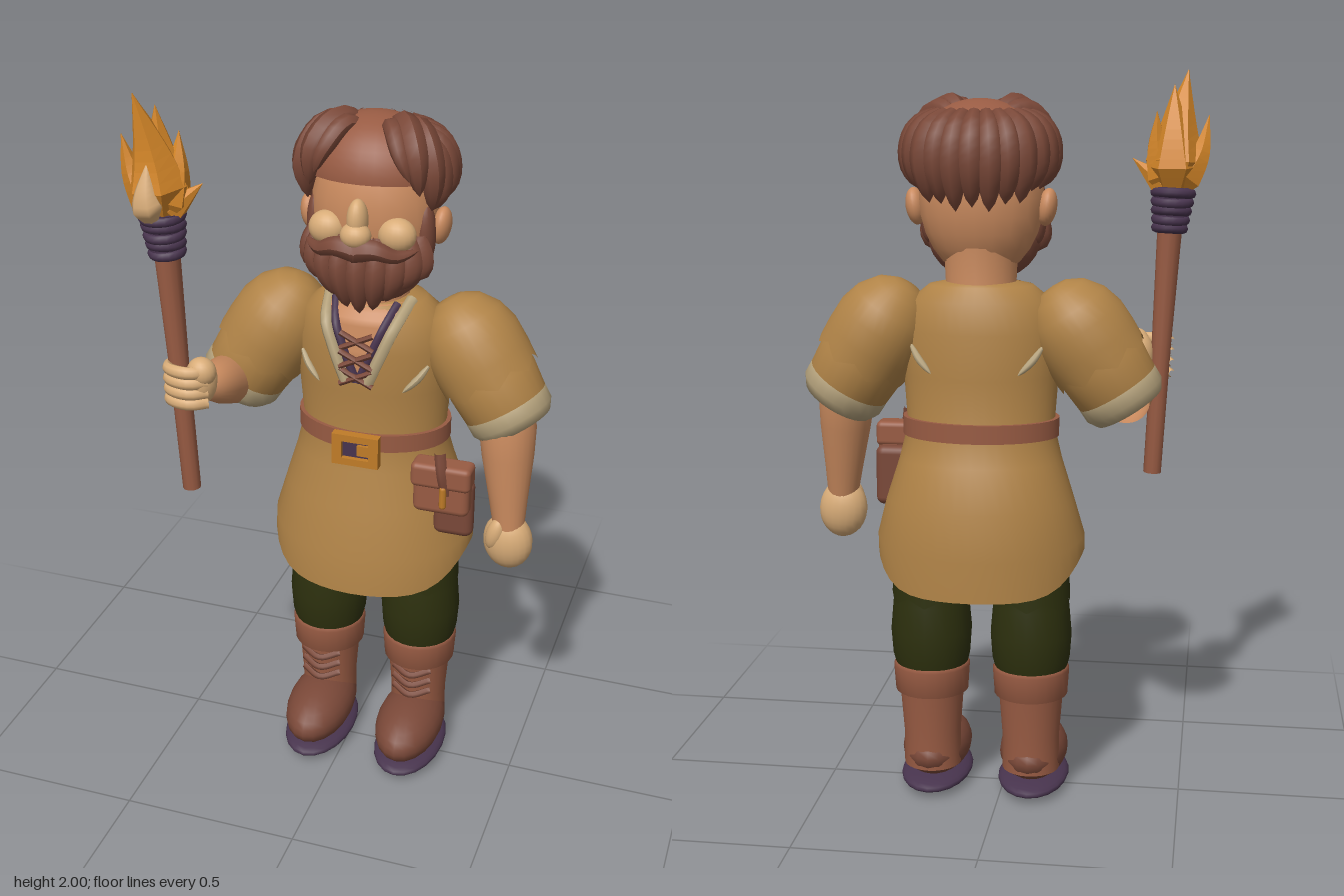
import * as THREE from 'three';
import { mergeVertices } from 'three/addons/utils/BufferGeometryUtils.js';
import { RoundedBoxGeometry } from 'three/addons/geometries/RoundedBoxGeometry.js';
import { ParametricGeometry } from 'three/addons/geometries/ParametricGeometry.js';

const CX = 0.055; // body centre line
const V = (p) => new THREE.Vector3(...p);

function makeMaterial(name, color, extra = {}) {
  const m = new THREE.MeshStandardMaterial({ color, ...extra });
  m.name = name;
  return m;
}

function smooth(geo) {
  geo.deleteAttribute('uv');
  geo.deleteAttribute('normal');
  const g = mergeVertices(geo, 1e-5);
  g.computeVertexNormals();
  return g;
}

// Tunic cross-sections: height, half width, half depth, centre z
const TUNIC = [
  [0.62, 0.285, 0.225, -0.06], [0.73, 0.285, 0.22, -0.063], [0.86, 0.257, 0.2, -0.075],
  [0.97, 0.222, 0.168, -0.067], [1.06, 0.2, 0.14, -0.06], [1.2, 0.21, 0.145, -0.055],
  [1.32, 0.215, 0.145, -0.052], [1.4, 0.19, 0.13, -0.05], [1.44, 0.14, 0.105, -0.05], [1.45, 0.09, 0.085, -0.055],
];

function tunicAt(y) {
  let i = 0;
  while (i < TUNIC.length - 2 && TUNIC[i + 1][0] < y) i++;
  const k = THREE.MathUtils.clamp((y - TUNIC[i][0]) / (TUNIC[i + 1][0] - TUNIC[i][0]), 0, 1);
  return TUNIC[i].map((v, j) => THREE.MathUtils.lerp(v, TUNIC[i + 1][j], k));
}

// z of the tunic surface; side 1 is the front, -1 the back
function clothZ(x, y, side = 1) {
  const [, w, d, cz] = tunicAt(y);
  return cz + side * d * Math.sqrt(Math.max(0, 1 - ((x - CX) / w) ** 2));
}

export function createModel() {
  const root = new THREE.Group();
  root.name = 'torchBearer';
  const two = { side: THREE.DoubleSide };
  const cloth = makeMaterial('tunic cloth', 0xb08347, two);
  const skin = makeMaterial('skin', 0xc98a5e);
  const pale = makeMaterial('pale skin', 0xd8ac78);
  const linen = makeMaterial('linen', 0xb5a27c);
  const hair = makeMaterial('brown', 0x7a4838);
  const leather = makeMaterial('leather', 0x985b43, two);
  const green = makeMaterial('dark green', 0x2d300e, two);
  const purple = makeMaterial('dark purple', 0x48344e);
  const flame = makeMaterial('flame', 0xd48628, { flatShading: true });
  const gold = makeMaterial('gold', 0xc07c28);

  function add(name, geo, mat, pos = [0, 0, 0], rot = [0, 0, 0], scale = [1, 1, 1]) {
    const m = new THREE.Mesh(geo, mat);
    m.name = name;
    m.position.set(...pos);
    m.rotation.set(...rot);
    m.scale.set(...scale);
    root.add(m);
    return m;
  }
  const ball = (name, mat, pos, radii, rot) => add(name, new THREE.SphereGeometry(1, 20, 14), mat, pos, rot, radii);

  // Turned part from a up to b; profile rows are [radius, fraction]; wave scallops the first row
  function limb(name, mat, a, b, profile, wave = 0, sides = 24) {
    const from = V(a), dir = V(b).sub(from), len = dir.length();
    const geo = new THREE.LatheGeometry(profile.map(([r, t]) => new THREE.Vector2(r, t * len)), sides);
    const p = geo.attributes.position, n = profile.length;
    for (let i = 0; i < p.count; i += n) p.setY(i, p.getY(i) + wave * Math.cos((i / n) * Math.PI / 2));
    const m = add(name, smooth(geo), mat, a);
    m.quaternion.setFromUnitVectors(new THREE.Vector3(0, 1, 0), dir.normalize());
    return m;
  }

  // Tube along points whose thickness follows taper(t)
  function strand(name, mat, pts, r, taper = (t) => Math.sin(Math.PI * (0.08 + 0.92 * t)) ** 0.6, sides = 8) {
    const curve = new THREE.CatmullRomCurve3(pts.map(V)), N = 12;
    const geo = new THREE.TubeGeometry(curve, N, r, sides);
    const p = geo.attributes.position, v = new THREE.Vector3();
    for (let i = 0; i < p.count; i++) {
      const t = Math.floor(i / (sides + 1)) / N, c = curve.getPointAt(t);
      v.fromBufferAttribute(p, i).sub(c).multiplyScalar(Math.max(0.01, taper(t))).add(c);
      p.setXYZ(i, v.x, v.y, v.z);
    }
    geo.computeVertexNormals();
    return add(name, geo, mat);
  }
  const even = () => 1;

  // Tunic with a hem that rises at the sides
  const body = new THREE.LatheGeometry(TUNIC.map((r) => new THREE.Vector2(1, r[0])), 40);
  const bp = body.attributes.position;
  for (let i = 0; i < bp.count; i++) {
    const row = i % TUNIC.length, [y, w, d, cz] = TUNIC[row], s = bp.getX(i);
    const lift = row === 0 ? 0.1 * s ** 6 : row === 1 ? 0.03 * s ** 6 : 0;
    bp.setXYZ(i, CX + s * w, y + lift, cz + bp.getZ(i) * d);
  }
  add('tunic', smooth(body), cloth);

  // Belt and buckle
  add('belt', new THREE.CylinderGeometry(1, 1, 0.05, 40), leather, [CX, 1.06, -0.06], [0, 0, 0], [0.213, 1, 0.152]);
  const frame = new THREE.Shape([[-0.065, -0.045], [0.065, -0.045], [0.065, 0.045], [-0.065, 0.045]].map((p) => new THREE.Vector2(...p)));
  frame.holes.push(new THREE.Path([[-0.038, -0.025], [-0.038, 0.025], [0.038, 0.025], [0.038, -0.025]].map((p) => new THREE.Vector2(...p))));
  add('buckle', new THREE.ExtrudeGeometry(frame, { depth: 0.025, bevelEnabled: false }), gold, [CX, 1.045, 0.095]);
  add('bucklePlate', new THREE.BoxGeometry(0.078, 0.054, 0.012), purple, [CX, 1.045, 0.1]);
  add('buckleTongue', new THREE.BoxGeometry(0.035, 0.03, 0.015), gold, [CX + 0.022, 1.045, 0.108]);

  // Pouch and tool at the left hip
  add('pouch', new RoundedBoxGeometry(0.155, 0.15, 0.06, 3, 0.02), leather, [0.29, 0.96, 0.08]);
  add('pouchFlap', new RoundedBoxGeometry(0.165, 0.07, 0.07, 3, 0.015), leather, [0.29, 1.0, 0.082]);
  add('pouchClasp', new THREE.CapsuleGeometry(0.01, 0.05, 4, 8), gold, [0.3, 0.945, 0.115]);
  add('sheath', new RoundedBoxGeometry(0.11, 0.17, 0.05, 3, 0.022), hair, [0.315, 0.885, 0.045]);
  strand('toolHandle', hair, [[0.305, 0.95, 0.1], [0.295, 1.01, 0.11], [0.285, 1.07, 0.1]], 0.016, even);

  // Open neckline, trim and lacing
  const neckHalf = (v) => 0.1 * (1 - v) + 0.018 * v;
  add('necklineSkin', new ParametricGeometry((u, v, t) => {
    const y = 1.445 - v * 0.2, x = CX + (u * 2 - 1) * neckHalf(v);
    t.set(x, y, clothZ(x, y) + 0.006);
  }, 10, 12), makeTwoSided(skin));
  function makeTwoSided(m) { m.side = THREE.DoubleSide; return m; }
  for (const s of [-1, 1]) {
    const edge = (off, lift) => [0, 0.25, 0.5, 0.75, 1].map((v) => {
      const y = 1.445 - v * 0.2, x = CX + s * (neckHalf(v) + off);
      return [x, y, clothZ(x, y) + lift];
    });
    strand('collarTrim', linen, edge(0.012, 0.014), 0.016, even);
    strand('collarLining', purple, edge(-0.016, 0.01), 0.011, even);
    for (const y of [1.26, 1.31, 1.36]) {
      strand('neckLace', hair, [-1, 0, 1].map((k) => [CX + k * s * 0.045, y + k * 0.022, clothZ(CX, y) + 0.02]), 0.008, even, 6);
    }
    // stitched slashes on chest and back
    for (const side of [1, -1]) {
      const pts = [[0.175, 1.285], [0.15, 1.25], [0.115, 1.215]].map(([x, y]) => [CX + s * x, y, clothZ(CX + s * x, y, side) + side * 0.004]);
      strand('tunicSlash', linen, pts, 0.01);
    }
  }

  // Sleeves and cuffs
  for (const s of [-1, 1]) {
    const top = [CX + s * 0.245, 1.36, -0.065], end = [CX + s * 0.39, 1.13, -0.045];
    limb('lowerSleeve', cloth, end, top, [[0.1, 0], [0.117, 0.15], [0.124, 0.45], [0.11, 0.8]]);
    limb('upperSleeve', cloth, end, top, [[0.132, 0.46], [0.134, 0.65], [0.132, 0.88], [0.115, 1.08], [0.08, 1.25], [0.04, 1.33], [0, 1.35]], 0.014, 32);
    limb('cuff', linen, end, top, [[0, -0.08], [0.075, -0.08], [0.1, -0.07], [0.117, 0.03], [0.118, 0.16], [0.108, 0.24]], 0);
  }

  // Left arm hanging
  limb('leftForearm', skin, [0.462, 0.83, 0.018], [0.435, 1.15, -0.02], [[0.042, 0], [0.052, 0.25], [0.07, 0.65], [0.077, 0.9], [0.07, 1]]);
  ball('leftHand', pale, [0.462, 0.79, 0.018], [0.068, 0.083, 0.052], [0, 0, 0.1]);
  ball('leftThumb', pale, [0.432, 0.82, 0.045], [0.025, 0.05, 0.025], [0, 0, -0.25]);

  // Right arm bent forward, gripping the torch
  limb('rightForearm', skin, [-0.335, 1.13, -0.06], [-0.335, 1.21, 0.17], [[0.065, 0], [0.074, 0.25], [0.062, 0.7], [0.045, 1], [0, 1.05]]);
  ball('rightPalm', pale, [-0.355, 1.22, 0.18], [0.045, 0.065, 0.05]);
  for (let i = 0; i < 4; i++) {
    const y = 1.17 + i * 0.03;
    strand('finger', pale, [[-0.33, y, 0.2], [-0.37, y, 0.228], [-0.43, y, 0.215], [-0.45, y, 0.175]], 0.018, (t) => 1 - 0.5 * t ** 4);
  }
  ball('rightThumb', pale, [-0.345, 1.255, 0.195], [0.04, 0.04, 0.035]);

  // Torch
  limb('torchStick', leather, [-0.4, 0.885, 0.175], [-0.437, 1.62, 0.175], [[0, 0], [0.025, 0], [0.027, 0.5], [0.035, 1]], 0, 12);
  for (let i = 0; i < 5; i++) {
    add('torchBinding', new THREE.TorusGeometry(0.037 + i * 0.003, 0.014, 8, 18), purple, [-0.434 - i * 0.002, 1.575 + i * 0.024, 0.175], [Math.PI / 2 + 0.06 * (-1) ** i, 0.05, 0]);
  }
  add('torchHead', new THREE.CylinderGeometry(0.052, 0.042, 0.12, 16), purple, [-0.438, 1.625, 0.175]);
  const tongue = (t) => (t < 0.25 ? 0.5 + 2 * t : (1 - t) / 0.75);
  for (const [mx, my, mz, tx, ty, tz, r] of [
    [-0.45, 1.82, 0.19, -0.475, 2.0, 0.235, 0.08], [-0.44, 1.82, 0.17, -0.44, 1.96, 0.185, 0.075],
    [-0.51, 1.77, 0.18, -0.535, 1.88, 0.19, 0.05], [-0.4, 1.78, 0.17, -0.395, 1.89, 0.15, 0.055],
    [-0.37, 1.73, 0.17, -0.33, 1.765, 0.165, 0.04],
  ]) strand('flameTongue', flame, [[-0.44, 1.67, 0.178], [mx, my, mz], [tx, ty, tz]], r, tongue, 6);
  strand('frontFlame', pale, [[-0.445, 1.68, 0.235], [-0.45, 1.74, 0.25], [-0.447, 1.83, 0.235]], 0.042, tongue, 6);

  // Neck, head and face
  limb('neck', skin, [CX, 1.36, -0.05], [CX, 1.56, -0.05], [[0.11, 0], [0.095, 0.45], [0.1, 1]]);
  ball('head', skin, [CX, 1.67, -0.045], [0.168, 0.215, 0.13]);
  ball('noseBridge', pale, [CX, 1.69, 0.1], [0.027, 0.055, 0.035]);
  ball('noseTip', pale, [CX, 1.655, 0.115], [0.04, 0.034, 0.035]);
  ball('beard', hair, [CX, 1.565, 0.005], [0.155, 0.125, 0.095]);
  for (let i = -4; i <= 4; i++) {
    const a = i * 0.33, sx = Math.sin(a), cz = Math.cos(a), low = 1.43 + 0.012 * Math.abs(i) ** 1.6;
    strand('beardLock', hair, [[CX + sx * 0.145, 1.64, 0.005 + cz * 0.075], [CX + sx * 0.15, 1.55, 0.01 + cz * 0.092], [CX + sx * 0.105, low, 0.015 + cz * 0.065]], 0.031);
  }
  for (const s of [-1, 1]) {
    ball('cheek', pale, [CX + s * 0.092, 1.648, 0.062], [0.05, 0.045, 0.04]);
    ball('ear', skin, [CX + s * 0.176, 1.645, -0.05], [0.026, 0.05, 0.038], [0, 0, -s * 0.15]);
    ball('sideburn', hair, [CX + s * 0.147, 1.63, -0.01], [0.025, 0.085, 0.035]);
    strand('moustache', hair, [[CX - s * 0.005, 1.615, 0.115], [CX + s * 0.05, 1.622, 0.118], [CX + s * 0.1, 1.605, 0.1], [CX + s * 0.15, 1.615, 0.065]], 0.034, (t) => (1 - t) ** 0.6);
  }

  // Hair cap with radiating locks
  add('hairCap', new THREE.SphereGeometry(1, 28, 12, 0, Math.PI * 2, 0, Math.PI * 0.52), leather, [CX, 1.775, -0.055], [-0.1, 0, 0], [0.18, 0.15, 0.155]);
  const locks = 15;
  for (let i = 0; i < locks; i++) {
    const a = Math.PI * (0.42 + 1.16 * i / (locks - 1)), sx = Math.sin(a), cz = Math.cos(a);
    const low = 1.66 + 0.06 * Math.abs(sx) ** 3 + 0.012 * (i % 2);
    const at = (k, y) => [CX + sx * 0.185 * k, y, -0.055 + cz * 0.165 * k];
    strand('hairLock', hair, [at(0.6, 1.89), at(0.9, 1.84), at(1.0, 1.76), at(0.9, low - 0.02)], 0.037);
  }
  for (const s of [-1, 1]) {
    const fringe = (pts, r) => strand('fringeLock', hair, pts.map(([x, y, z]) => [CX + s * x, y, z]), r);
    fringe([[0.04, 1.88, -0.08], [0.085, 1.905, -0.02], [0.13, 1.85, 0.045], [0.145, 1.75, 0.05]], 0.038);
    fringe([[0.06, 1.88, -0.09], [0.12, 1.89, -0.03], [0.165, 1.81, 0.015], [0.165, 1.7, 0.005]], 0.038);
    fringe([[0.025, 1.87, -0.05], [0.06, 1.905, 0.01], [0.1, 1.85, 0.065], [0.125, 1.79, 0.07]], 0.026);
  }

  // Legs and boots
  for (const s of [-1, 1]) {
    const x = CX + s * 0.14, z = -0.07;
    limb('trouserLeg', green, [x, 0, z], [x, 1, z], [[0.095, 0.36], [0.108, 0.41], [0.113, 0.48], [0.106, 0.56], [0.098, 0.62], [0.098, 0.85]]);
    limb('trouserThigh', green, [x, 0, z], [x, 1, z], [[0.108, 0.575], [0.105, 0.66], [0.1, 0.85]], 0.012, 28);
    limb('bootCuff', leather, [x, 0, z], [x, 1, z], [[0.08, 0.3], [0.102, 0.302], [0.107, 0.375], [0.1, 0.385], [0.085, 0.385]]);
    limb('bootShaft', leather, [x, 0, z], [x, 1, z], [[0.08, 0.08], [0.08, 0.18], [0.09, 0.31]]);
    const foot = ball('bootFoot', hair, [x, 0.105, 0.01], [0.096, 0.08, 0.17]);
    foot.rotation.x = 0.06;
    ball('bootSole', purple, [x, 0.028, 0.005], [0.1, 0.028, 0.176]);
    for (let i = 0; i < 3; i++) {
      const y = 0.205 + i * 0.035;
      strand('bootLace', hair, [[x - 0.055, y + 0.012, 0.0], [x, y, 0.025], [x + 0.055, y + 0.012, 0.0]], 0.01, even, 6);
    }
  }
  return root;
}
